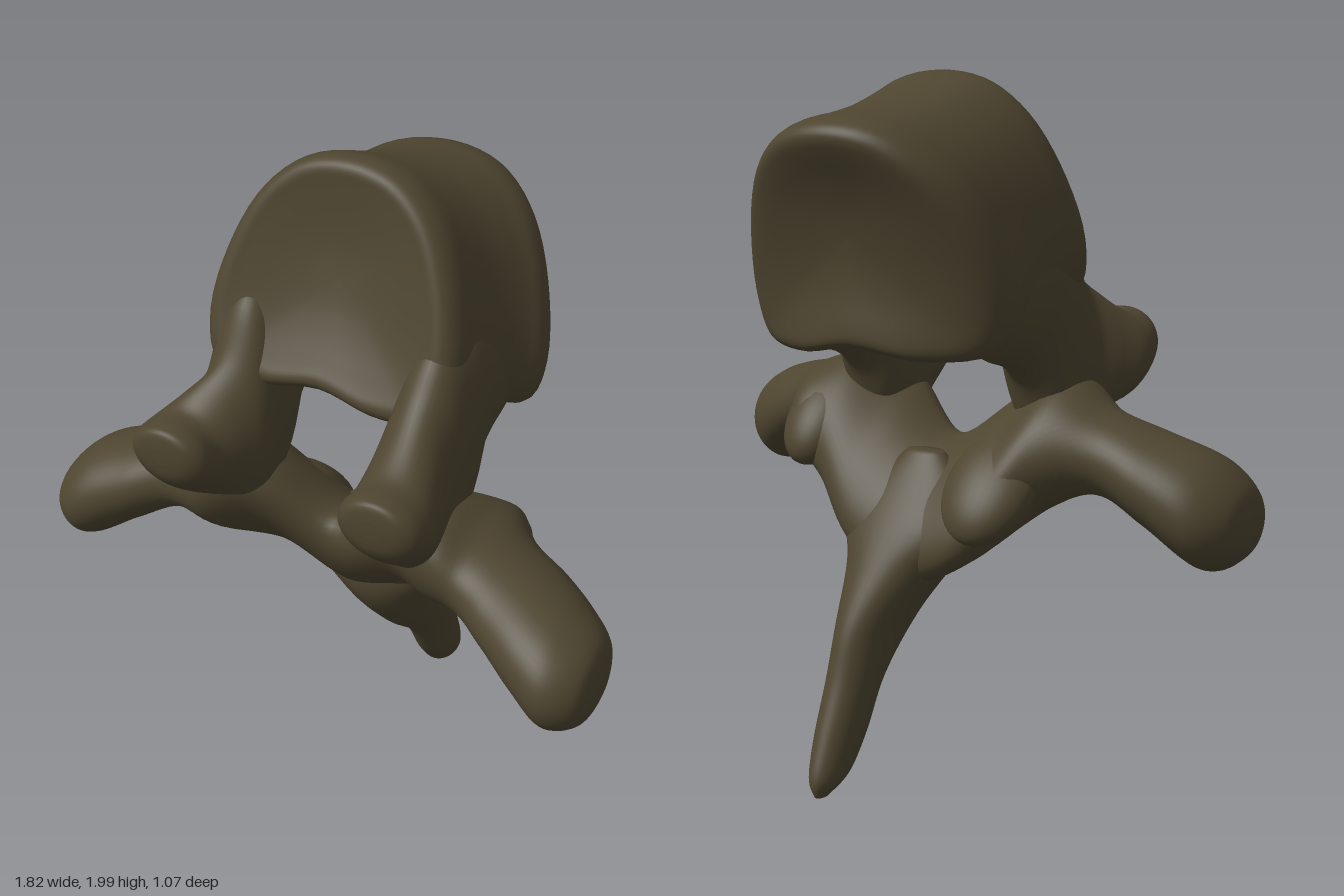
import * as THREE from 'three';
import { mergeVertices } from 'three/addons/utils/BufferGeometryUtils.js';

const bone = new THREE.MeshStandardMaterial({ color: 0x4e4530 });
const SIDES = 48;

// Smoothly resample rows of section numbers, column by column
function resample(rows, steps) {
  const columns = rows[0].map((_, c) => new THREE.SplineCurve(rows.map((r, i) => new THREE.Vector2(i, r[c]))));
  return Array.from({ length: steps + 1 }, (_, k) => columns.map(curve => curve.getPoint(k / steps).y));
}

// Skin a list of closed rings, closing both ends, with normals outward
function skin(rings) {
  const n = rings[0].length;
  const centre = ring => ring.reduce((s, p) => s.add(p), new THREE.Vector3()).divideScalar(n);
  const first = centre(rings[0]), last = centre(rings[rings.length - 1]);
  const all = [rings[0].map(() => first), ...rings, rings[0].map(() => last)];
  const points = all.flat();
  const index = [];
  for (let i = 0; i < all.length - 1; i++) {
    for (let j = 0; j < n; j++) {
      const a = i * n + j, b = i * n + (j + 1) % n;
      if (i > 0) index.push(a, b, a + n);
      if (i < all.length - 2) index.push(b, b + n, a + n);
    }
  }
  // Rings may run either way, so flip the faces when the volume is negative
  let volume = 0;
  const cross = new THREE.Vector3();
  for (let k = 0; k < index.length; k += 3) {
    volume += points[index[k]].dot(cross.crossVectors(points[index[k + 1]], points[index[k + 2]]));
  }
  if (volume < 0) index.reverse();
  const geometry = new THREE.BufferGeometry().setFromPoints(points);
  geometry.setIndex(index);
  const merged = mergeVertices(geometry, 1e-5);
  merged.computeVertexNormals();
  return merged;
}

// Loft ellipses; place(row, cos, sin) gives one point of a section
function loft(rows, place, steps = rows.length * 6) {
  return skin(resample(rows, steps).map(row =>
    Array.from({ length: SIDES }, (_, j) => {
      const a = j / SIDES * Math.PI * 2;
      return place(row, Math.cos(a), Math.sin(a));
    })));
}

const V = (x, y, z) => new THREE.Vector3(x, y, z);
// Rows for upright lofts: y, x, z, x radius, z radius
const alongY = ([y, x, z, rx, rz], c, s) => V(x + Math.max(rx, 0) * c, y, z + Math.max(rz, 0) * s);
// Rows for forward lofts: z, x, x radius, bottom, top
const alongZ = ([z, x, rx, low, high], c, s) =>
  V(x + Math.max(rx, 0) * c, (low + high) / 2 + (high - low) / 2 * s, z);
// Rows for sideways lofts: x, y, z, long radius, thin radius, tilt in degrees
function alongX([x, y, z, long, thin, tilt], c, s) {
  const a = THREE.MathUtils.degToRad(tilt);
  const l = Math.max(long, 0) * c, t = Math.max(thin, 0) * s;
  return V(x, y - l * Math.cos(a) + t * Math.sin(a), z - l * Math.sin(a) - t * Math.cos(a));
}

// Arched block with rounded rims, a slight waist and shallow dished end plates
function bodyGeometry() {
  const half = [[0, 0.33], [0.14, 0.3], [0.25, 0.2], [0.33, 0.02], [0.36, -0.18], [0.32, -0.31],
    [0.18, -0.34], [0, -0.31]];
  const outlinePoints = [...half, ...half.slice(1, -1).reverse().map(([x, v]) => [-x, v])];
  const outline = new THREE.CatmullRomCurve3(outlinePoints.map(([x, v]) => V(x, v, 0)), true).getPoints(64).slice(0, -1);
  // Depth from front (0) to back (1), scale of the outline
  const profile = [[0.07, 0.02], [0.065, 0.25], [0.045, 0.5], [0.015, 0.75], [0, 0.87], [0.015, 0.94], [0.06, 0.985],
    [0.14, 1], [0.3, 0.97], [0.5, 0.95], [0.7, 0.97], [0.84, 1], [0.94, 0.985], [0.985, 0.94], [1, 0.87],
    [0.985, 0.75], [0.94, 0.5], [0.91, 0.25], [0.9, 0.02]];
  return skin(resample(profile, 72).map(([t, k]) => {
    const wide = 1.03 + 0.15 * t;
    return outline.map(p => {
      const x = p.x * k * wide;
      // The back plate curves forward at its sides
      return V(
        -0.035 + 0.06 * t + x,
        1.69 - 0.16 * t + p.y * k * 0.95,
        0.1 - 0.57 * t - p.y * k * (0.33 - 0.11 * t) + 0.8 * t * x * x);
    });
  }));
}

export function createModel() {
  const model = new THREE.Group();
  model.name = 'vertebra';
  const add = (name, geometry) => {
    const mesh = new THREE.Mesh(geometry, bone);
    mesh.name = name;
    model.add(mesh);
    return mesh;
  };

  add('vertebralBody', bodyGeometry());

  // Lamina in the middle, running out into a transverse wing on each side
  add('archAndTransverseWings', loft([
    [-0.91, 0.775, 0.17, 0.04, 0.03, 90],
    [-0.885, 0.78, 0.16, 0.13, 0.1, 90],
    [-0.8, 0.8, 0.145, 0.19, 0.155, 90],
    [-0.65, 0.875, 0.125, 0.175, 0.135, 90],
    [-0.5, 0.94, 0.11, 0.15, 0.12, 85],
    [-0.35, 0.96, 0.11, 0.22, 0.16, 55],
    [-0.2, 0.86, 0.02, 0.29, 0.12, 45],
    [0, 0.75, -0.02, 0.25, 0.12, 45],
    [0.2, 0.86, 0.03, 0.29, 0.12, 45],
    [0.36, 0.97, 0.12, 0.27, 0.16, 52],
    [0.48, 0.99, 0.15, 0.23, 0.14, 78],
    [0.58, 0.98, 0.24, 0.19, 0.125, 90],
    [0.7, 0.94, 0.3, 0.2, 0.14, 90],
    [0.8, 0.9, 0.345, 0.19, 0.15, 90],
    [0.88, 0.89, 0.36, 0.13, 0.11, 90],
    [0.908, 0.885, 0.36, 0.04, 0.03, 90],
  ], alongX, 110));

  // Pedicles joining body and arch, drawn forward into the superior articular knobs
  for (const [name, side, x, drop, shorter] of [
    ['leftPedicleAndKnob', 1, 0.31, 0, 0],
    ['rightPedicleAndKnob', -1, -0.365, 0.04, 0.055],
  ]) {
    const root = side * 0.285;
    add(name, loft([
      [-0.3, root, 0.04, 1.3, 1.4],
      [-0.2, root, 0.09, 1.22, 1.5],
      [-0.08, root, 0.105, 1.18, 1.58],
      [0, root, 0.11, 1.12, 1.62],
      [0.06, root, 0.115, 0.98, 1.61],
      [0.14, root, 0.115, 0.92, 1.57],
      [0.22, root, 0.115, 0.94, 1.48 - drop],
      [0.31 - shorter / 2, (root + x) / 2, 0.12, 1.01, 1.41 - drop],
      [0.4 - shorter, x, 0.125, 1.09 - drop, 1.36 - drop],
      [0.47 - shorter, x, 0.12, 1.15 - drop, 1.355 - drop],
      [0.505 - shorter, x, 0.085, 1.2 - drop, 1.345 - drop],
      [0.515 - shorter, x, 0.03, 1.25 - drop, 1.3 - drop],
    ], alongZ));
  }

  // Inferior articular facets, flat pads along the rear of the arch
  for (const [name, x, y, z, wide, long] of [
    ['leftInferiorFacet', 0.42, 0.97, 0.0, 0.11, 0.17],
    ['rightInferiorFacet', -0.22, 0.84, -0.07, 0.14, 0.19],
  ]) {
    const facet = add(name, new THREE.SphereGeometry(1, 32, 20));
    facet.scale.set(wide, long, 0.085);
    facet.rotation.x = Math.PI / 4;
    facet.position.set(x, y, z);
  }

  // Rear spine tapering down and back
  add('rearSpine', loft([
    [0.92, 0.02, -0.04, 0.06, 0.03],
    [0.82, 0.025, -0.06, 0.16, 0.08],
    [0.72, 0.03, -0.07, 0.23, 0.14],
    [0.6, 0.055, -0.11, 0.155, 0.17],
    [0.45, 0.08, -0.2, 0.095, 0.155],
    [0.3, 0.085, -0.3, 0.072, 0.105],
    [0.15, 0.085, -0.375, 0.062, 0.095],
    [0.05, 0.08, -0.435, 0.045, 0.075],
    [0, 0.078, -0.475, 0.015, 0.025],
  ], alongY));

  return model;
}
